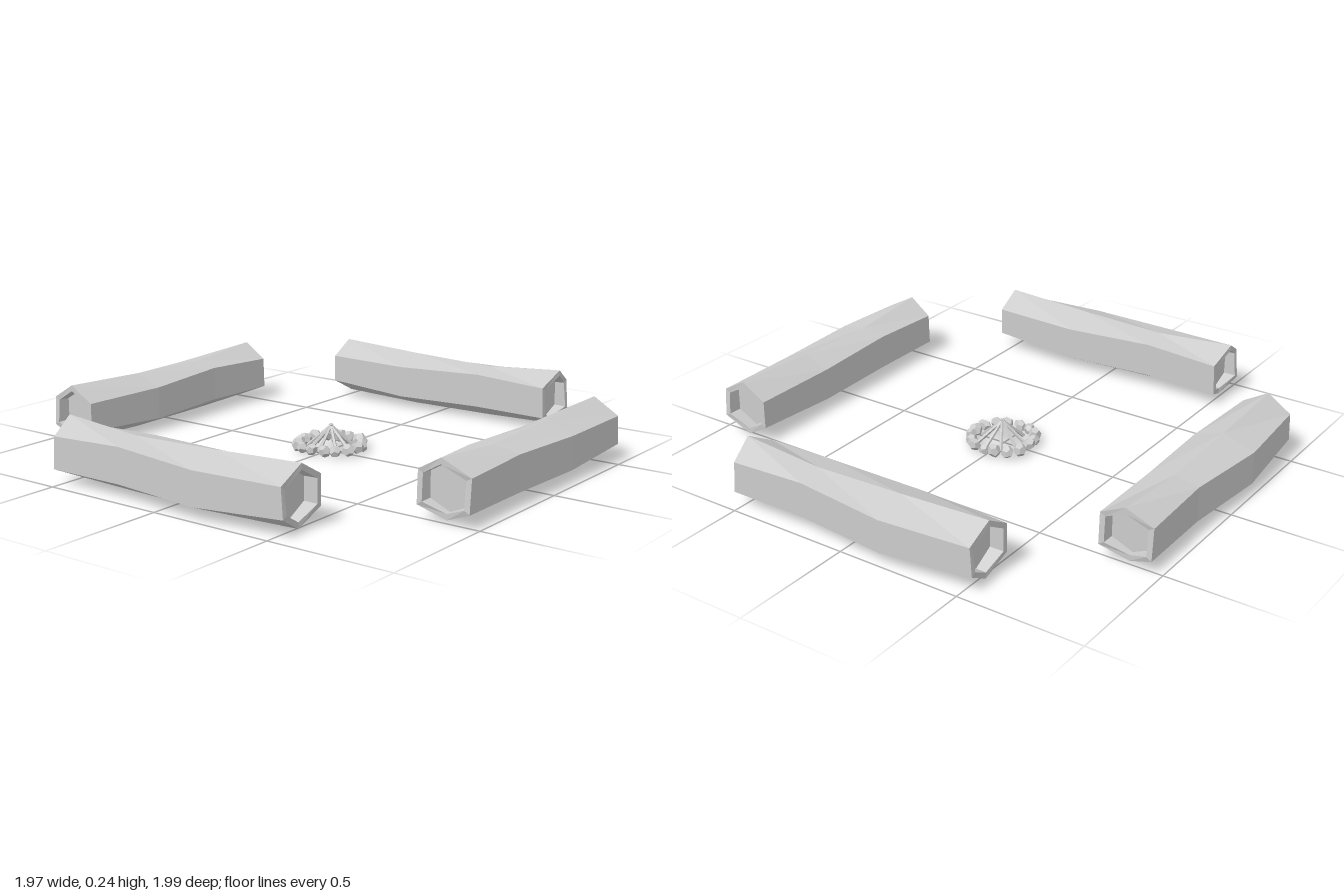
import * as THREE from 'three';

const mat = new THREE.MeshStandardMaterial({ color: 0xcccccc, flatShading: true });

// Small seeded generator for the rough stones
function seeded(seed) {
  return () => {
    seed = (seed * 16807) % 2147483647;
    return seed / 2147483647;
  };
}

// Hexagonal log along x; +z is the side facing away from the fire.
// Stations: x, top, upper, lower, bottom heights, inner z, outer z
const STATIONS = [
  [-0.525, 0.239, 0.18, 0.055, 0.01, 0.757, 0.967],
  [-0.2, 0.212, 0.193, 0.055, 0.003, 0.767, 0.965],
  [0.17, 0.223, 0.18, 0.05, 0.0, 0.745, 0.995],
  [0.535, 0.24, 0.18, 0.068, 0.01, 0.762, 0.966],
];
const RIDGE_Z = 0.866, AXIS_Y = 0.123;

// Uneven sawn ends: x shift of each corner of the rim
const LEFT_CUT = [-0.012, 0.005, 0, 0.03, 0, 0.01];
const RIGHT_CUT = [0.005, 0.005, 0.005, -0.01, 0.005, -0.003];

function logGeometry(bulge) {
  const outer = STATIONS.map(([x, top, up, low, bottom, zi, zo], i) => {
    const zIn = THREE.MathUtils.lerp(0.765, zi, bulge);
    const zOut = THREE.MathUtils.lerp(0.975, zo, bulge);
    const cut = i === 0 ? LEFT_CUT : i === 3 ? RIGHT_CUT : [0, 0, 0, 0, 0, 0];
    return [
      [top, RIDGE_Z], [up, zIn], [low, zIn], [bottom, RIDGE_Z], [low, zOut], [up, zOut],
    ].map(([y, z], k) => new THREE.Vector3(x + cut[k], y, z));
  });
  // Copies of an end ring shrunk towards the log's axis
  const shrink = (ring, s, dx) => ring.map((p) => new THREE.Vector3(
    p.x + dx, AXIS_Y + (p.y - AXIS_Y) * s, RIDGE_Z + (p.z - RIDGE_Z) * s));
  const flat = (ring, x) => ring.map((p) => new THREE.Vector3(x, p.y, p.z));
  const [first, last] = [outer[0], outer[3]];
  const rings = [
    flat(shrink(first, 0, 0), -0.475), flat(shrink(first, 0.78, 0), -0.475), shrink(first, 0.8, 0),
    ...outer,
    shrink(last, 0.8, 0), flat(shrink(last, 0.78, 0), 0.485), flat(shrink(last, 0, 0), 0.485),
  ];
  const pts = [];
  for (let i = 0; i < rings.length - 1; i++) {
    for (let k = 0; k < 6; k++) {
      const n = (k + 1) % 6;
      const a = rings[i][k], b = rings[i][n], c = rings[i + 1][k], d = rings[i + 1][n];
      pts.push(a, c, b, b, c, d);
    }
  }
  const geo = new THREE.BufferGeometry().setFromPoints(pts);
  geo.computeVertexNormals();
  return geo;
}

function createFire() {
  const fire = new THREE.Group();
  fire.name = 'campfire';
  fire.position.set(0.003, 0, -0.008);
  const rand = seeded(71);

  // Ring of rough stones
  const stones = new THREE.Group();
  stones.name = 'stoneRing';
  const count = 16;
  for (let i = 0; i < count; i++) {
    const a = ((i + (rand() - 0.5) * 0.3) / count) * Math.PI * 2;
    const r = 0.119 + rand() * 0.012;
    const stone = new THREE.Mesh(new THREE.DodecahedronGeometry(0.025, 0), mat);
    stone.name = 'stone';
    stone.scale.set(0.8 + rand() * 0.4, 0.8 + rand() * 0.3, 0.8 + rand() * 0.4);
    stone.rotation.set(rand() * 3, rand() * 6, rand() * 3);
    stone.position.set(Math.cos(a) * r, 0.028, Math.sin(a) * r);
    stones.add(stone);
  }
  fire.add(stones);

  // Sticks leaning together into a cone
  const sticks = new THREE.Group();
  sticks.name = 'firewood';
  const up = new THREE.Vector3(0, 1, 0);
  for (let i = 0; i < 9; i++) {
    const a = ((i + (rand() - 0.5) * 0.25) / 9) * Math.PI * 2;
    const foot = new THREE.Vector3(Math.cos(a) * 0.095, 0.012, Math.sin(a) * 0.095);
    const tip = new THREE.Vector3(-Math.cos(a) * 0.006, 0.105, -Math.sin(a) * 0.006);
    const dir = tip.clone().sub(foot);
    const stick = new THREE.Mesh(new THREE.CylinderGeometry(0.006, 0.008, dir.length(), 5), mat);
    stick.name = 'stick';
    stick.position.copy(foot).add(tip).multiplyScalar(0.5);
    stick.quaternion.setFromUnitVectors(up, dir.normalize());
    sticks.add(stick);
  }
  fire.add(sticks);
  return fire;
}

export function createModel() {
  const model = new THREE.Group();
  model.name = 'campfireWithLogSeats';
  // Four log seats turned around the fire
  const seats = [
    ['frontLog', 0, 1],
    ['leftLog', Math.PI / 2, 0.15],
    ['backLog', Math.PI, 1],
    ['rightLog', -Math.PI / 2, 1],
  ];
  for (const [name, angle, bulge] of seats) {
    const log = new THREE.Mesh(logGeometry(bulge), mat);
    log.name = name;
    log.rotation.y = angle;
    model.add(log);
  }
  model.add(createFire());
  return model;
}
